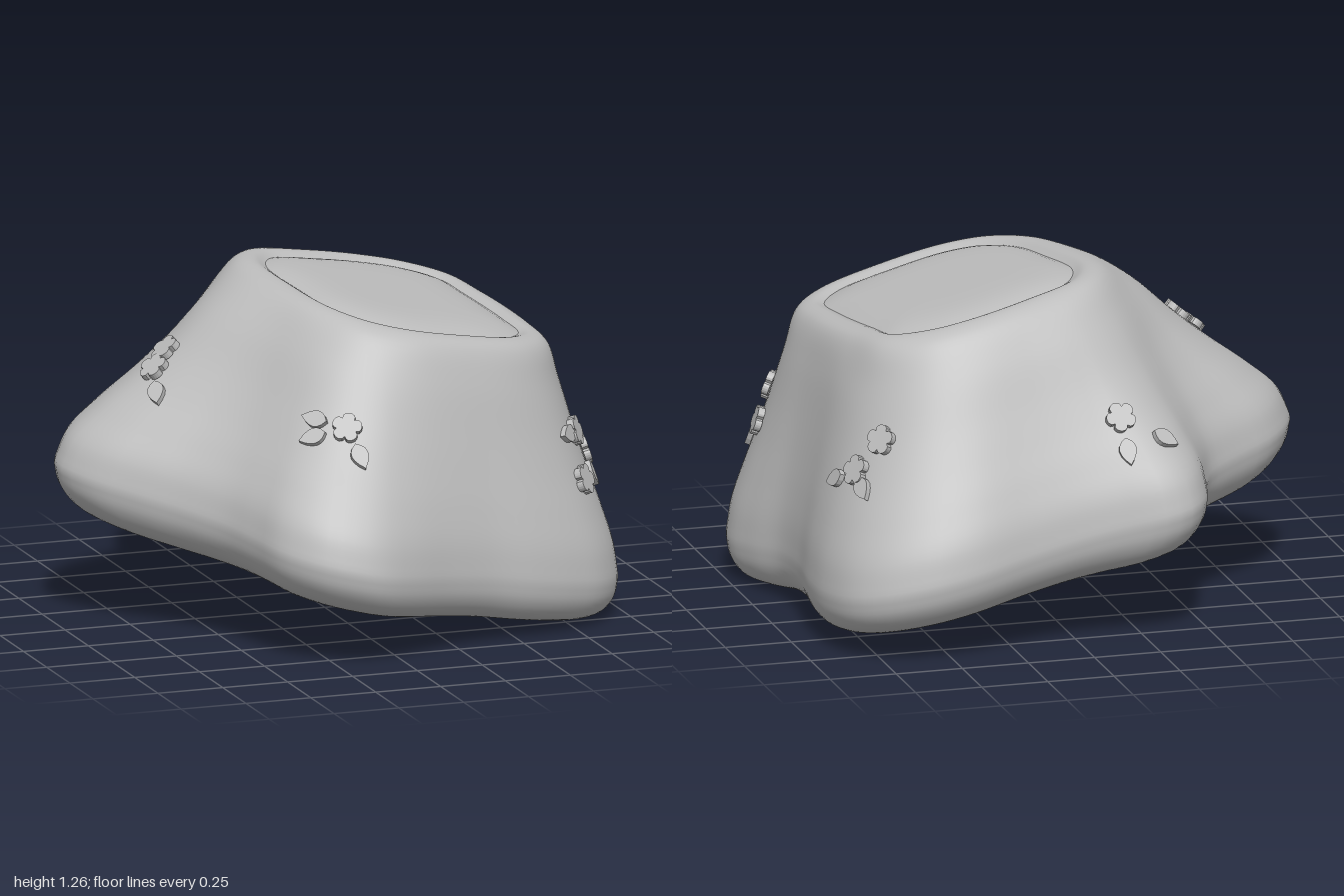
import * as THREE from 'three';

const CX = 0.22; // shared axis of the lobed base and the square mouth

// Radius of a closed outline as a function of the angle around the axis
function polarOutline(points) {
  const polar = new THREE.CatmullRomCurve3(points.map(([x, z]) => new THREE.Vector3(x, 0, z)), true)
    .getPoints(400).slice(0, -1)
    .map((p) => [Math.atan2(p.z, p.x - CX), Math.hypot(p.x - CX, p.z)])
    .sort((a, b) => a[0] - b[0]);
  return (angle) => {
    const t = Math.atan2(Math.sin(angle), Math.cos(angle));
    const i = Math.max(0, polar.findIndex((p) => p[0] >= t));
    const b = polar[i], a = polar[(i + polar.length - 1) % polar.length];
    const span = (b[0] - a[0] + Math.PI * 2) % (Math.PI * 2);
    const part = (t - a[0] + Math.PI * 2) % (Math.PI * 2);
    return span > 1e-6 ? a[1] + (b[1] - a[1]) * Math.min(1, part / span) : b[1];
  };
}

// The same outline with its corners softened
const softened = (radius, spread) => (angle) =>
  [-1, -0.5, 0, 0.5, 1].reduce((sum, k) => sum + radius(angle + k * spread), 0) / 5;

// Five-lobed widest outline, as x, z
const baseRadius = polarOutline([
  [-1, -0.08], [-0.95, -0.25], [-0.85, -0.38], [-0.7, -0.47], [-0.58, -0.56],
  [-0.52, -0.68], [-0.47, -0.85], [-0.39, -0.95], [-0.28, -0.97], [-0.15, -0.94],
  [0, -0.925], [0.2, -0.945], [0.45, -1], [0.62, -0.99], [0.78, -0.92],
  [0.87, -0.82], [0.92, -0.65], [0.92, -0.45], [0.89, -0.2], [0.9, 0],
  [0.96, 0.18], [0.99, 0.34], [0.95, 0.5], [0.85, 0.62], [0.72, 0.69],
  [0.57, 0.74], [0.38, 0.78], [0.2, 0.85], [0, 0.95], [-0.12, 0.995],
  [-0.22, 0.99], [-0.35, 0.94], [-0.46, 0.82], [-0.51, 0.65], [-0.57, 0.49],
  [-0.68, 0.34], [-0.82, 0.2], [-0.94, 0.07],
]);

// Rounded-square mouth outline, as x, z
const mouthRadius = polarOutline([
  [-0.145, -0.22], [-0.07, -0.37], [0.1, -0.43], [0.3, -0.47], [0.45, -0.46],
  [0.57, -0.38], [0.61, -0.2], [0.65, 0.1], [0.65, 0.27], [0.55, 0.38],
  [0.35, 0.44], [0.15, 0.46], [0.02, 0.41], [-0.07, 0.28], [-0.12, 0.05],
]);
const softBase = softened(baseRadius, 0.25);
const softMouth = softened(mouthRadius, 0.3);

const profile = (points) => new THREE.CatmullRomCurve3(
  points.map((p) => new THREE.Vector3(...p)), false, 'centripetal');

// Wall: blend from mouth to lobes, offset from the mouth, height fraction
const wall = profile([
  [0, 0, 0.985], [0, 0.04, 1], [0, 0.08, 0.995], [0.05, 0.1, 0.97], [0.24, 0.1, 0.855],
  [0.46, 0.1, 0.68], [0.62, 0.1, 0.56], [0.8, 0.1, 0.43], [0.94, 0.1, 0.31], [1, 0.1, 0.2],
]);
// Underside: fraction of the lobed radius, unused, height fraction
const underside = profile([
  [1, 0, 0.2], [0.985, 0, 0.13], [0.94, 0, 0.07], [0.87, 0, 0.035], [0.75, 0, 0.014],
  [0.55, 0, 0.002], [0.3, 0, 0], [0.002, 0, 0],
]);
const WIDEST = 0.62; // where the wall meets the underside

// Point at an angle and radius on the tilted body; h runs from underside to rim
function tilted(angle, r, h) {
  const x = CX + Math.cos(angle) * r, z = Math.sin(angle) * r;
  const bottom = 0.165 - 0.21 * x - 0.05 * z, top = 1.2 - 0.21 * x - 0.06 * z;
  return new THREE.Vector3(x, bottom + (top - bottom) * h, z);
}

function bodyPoint(u, angle) {
  const base = baseRadius(angle);
  if (u > WIDEST) {
    const p = underside.getPoint((u - WIDEST) / (1 - WIDEST));
    return tilted(angle, base * p.x, p.z);
  }
  const p = wall.getPoint(u / WIDEST);
  const lobe = THREE.MathUtils.lerp(softBase(angle), base, p.x);
  // the wall grows rounder than the mouth on its way down
  const mouth = THREE.MathUtils.lerp(
    mouthRadius(angle), softMouth(angle), THREE.MathUtils.smoothstep(p.x, 0, 0.3));
  return tilted(angle, mouth + p.y + p.x * (lobe - mouth - 0.1), p.z);
}

// Smooth skin over closed rings
function loft(rows, segments, pointAt) {
  const positions = [], index = [];
  for (let i = 0; i <= rows; i++) {
    for (let j = 0; j < segments; j++) {
      positions.push(...pointAt(i / rows, (j / segments) * Math.PI * 2).toArray());
      if (i === rows) continue;
      const a = i * segments + j, b = i * segments + ((j + 1) % segments);
      index.push(a, b, a + segments, b, b + segments, a + segments);
    }
  }
  const g = new THREE.BufferGeometry();
  g.setAttribute('position', new THREE.Float32BufferAttribute(positions, 3));
  g.setIndex(index);
  g.computeVertexNormals();
  return g;
}

// Nearest place on the wall at the angle of a target, with its outward normal
function findOnWall(target) {
  const angle = Math.atan2(target.z, target.x - CX);
  let best = 0.3, bestDistance = Infinity;
  for (let u = 0.18; u < 0.58; u += 0.004) {
    const d = bodyPoint(u, angle).distanceTo(target);
    if (d < bestDistance) { bestDistance = d; best = u; }
  }
  const point = bodyPoint(best, angle);
  const around = bodyPoint(best, angle + 0.04).sub(bodyPoint(best, angle - 0.04));
  const down = bodyPoint(best + 0.015, angle).sub(bodyPoint(best - 0.015, angle));
  return { point, normal: around.cross(down).normalize() };
}

function flowerGeometry() {
  const pts = [];
  for (let i = 0; i < 40; i++) {
    const a = (i / 40) * Math.PI * 2;
    const r = 0.038 + 0.018 * Math.sqrt(Math.abs(Math.cos(a * 2.5)));
    pts.push(new THREE.Vector2(Math.cos(a) * r, Math.sin(a) * r));
  }
  return new THREE.ExtrudeGeometry(new THREE.Shape(pts), { depth: 0.025, bevelEnabled: false });
}

function leafGeometry() {
  const s = new THREE.Shape();
  s.moveTo(0, -0.045);
  s.bezierCurveTo(0.045, -0.02, 0.04, 0.015, 0, 0.058);
  s.bezierCurveTo(-0.04, 0.015, -0.045, -0.02, 0, -0.045);
  return new THREE.ExtrudeGeometry(s, { depth: 0.02, bevelEnabled: false, curveSegments: 6 });
}

// Flower and leaf positions in each cluster
const clusters = [
  { flowers: [[-0.66, 0.96, -0.03], [-0.59, 1, -0.07]], leaves: [[-0.71, 0.91, 0.07]] },
  { flowers: [[-0.18, 0.86, 0.73]],
    leaves: [[-0.3, 0.84, 0.7], [-0.16, 0.78, 0.81], [-0.27, 0.88, 0.65]] },
  { flowers: [[0.82, 0.7, 0.44], [0.9, 0.6, 0.34], [0.84, 0.54, 0.55]],
    leaves: [[0.8, 0.71, 0.52], [0.89, 0.54, 0.43]] },
  { flowers: [[0.8, 0.67, -0.63], [0.71, 0.78, -0.66]],
    leaves: [[0.87, 0.63, -0.55], [0.81, 0.64, -0.71]] },
  { flowers: [[-0.15, 0.81, -0.76]], leaves: [[-0.17, 0.72, -0.85], [-0.31, 0.75, -0.83]] },
];

export function createModel() {
  const model = new THREE.Group();
  const grey = new THREE.MeshStandardMaterial({ color: 0xbcbcbc });
  grey.name = 'plain grey';
  const add = (name, geometry, parent = model) => {
    const mesh = new THREE.Mesh(geometry, grey);
    mesh.name = name;
    parent.add(mesh);
    return mesh;
  };

  // Lobed body with a rounded rim and softly rounded underside
  add('body', loft(80, 144, bodyPoint));

  // Gently domed top filling the mouth, meeting the rim in a fine crease
  add('domedTop', loft(14, 144, (t, a) =>
    tilted(a, Math.max(0.002, mouthRadius(a) * t), 1.015 - 0.03 * t ** 6)));

  // Flower clusters lying on the lobes
  const flower = flowerGeometry(), leaf = leafGeometry();
  const Z = new THREE.Vector3(0, 0, 1);
  clusters.forEach(({ flowers, leaves }) => {
    const cluster = new THREE.Group();
    cluster.name = 'flowerCluster';
    model.add(cluster);
    const hub = findOnWall(new THREE.Vector3(...flowers[0])).point;
    flowers.forEach((p) => {
      const { point, normal } = findOnWall(new THREE.Vector3(...p));
      const mesh = add('flower', flower, cluster);
      mesh.position.copy(point);
      mesh.quaternion.setFromUnitVectors(Z, normal);
    });
    leaves.forEach((p) => {
      const { point, normal } = findOnWall(new THREE.Vector3(...p));
      const along = point.clone().sub(hub).projectOnPlane(normal).normalize();
      const across = along.clone().cross(normal);
      const mesh = add('leaf', leaf, cluster);
      mesh.position.copy(point);
      mesh.quaternion.setFromRotationMatrix(new THREE.Matrix4().makeBasis(across, along, normal));
    });
  });
  return model;
}
